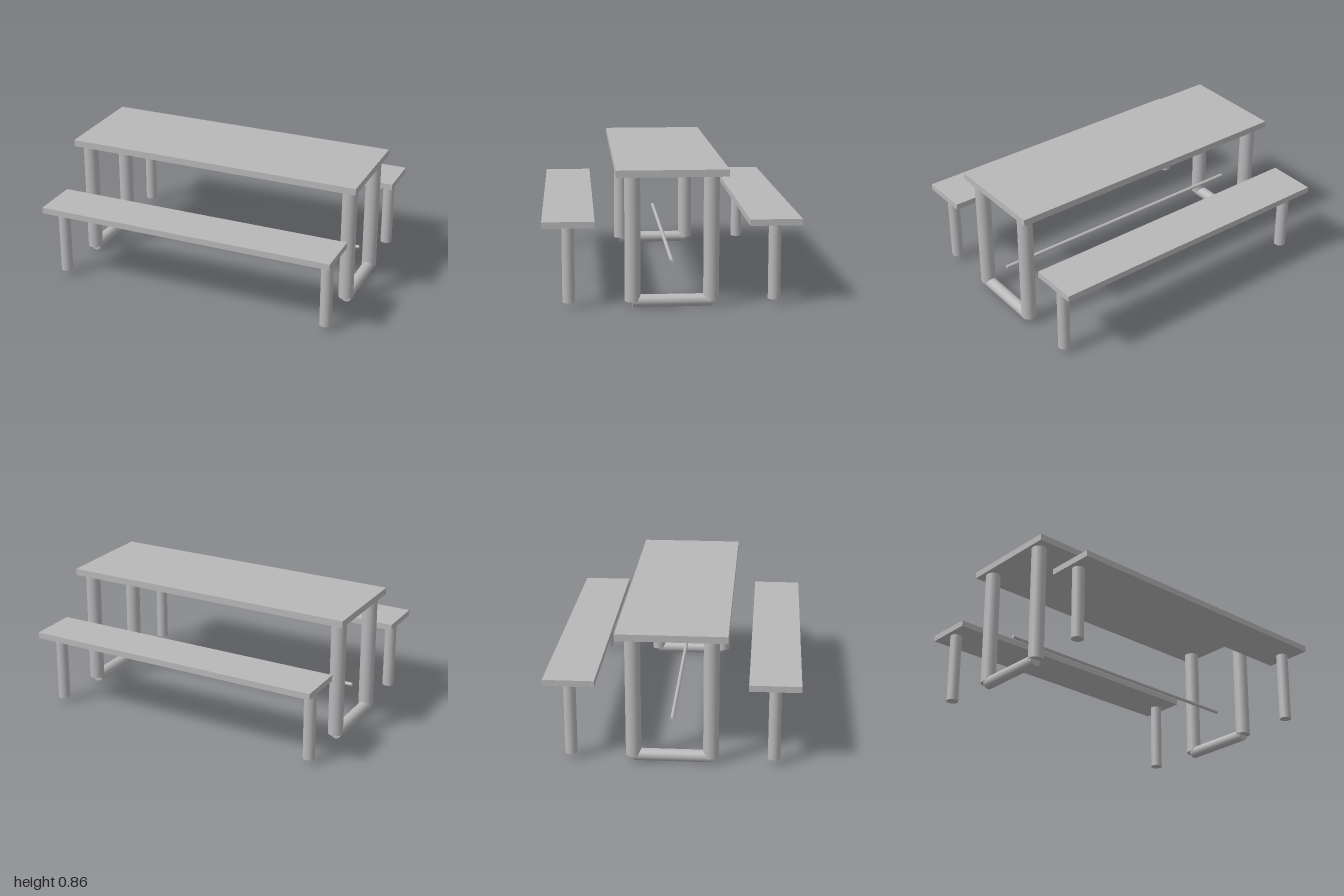
import * as THREE from 'three';

const metal = new THREE.MeshStandardMaterial({ color: 0xb8b8b8 });
metal.name = 'grey';

const LEG_X = 0.932;   // legs sit just inside both ends
const TABLE_Z = 0.243;
const BENCH_Z = 0.637;

export function createModel() {
  const group = new THREE.Group();
  group.name = 'picnicTable';

  const add = (name, geometry, x, y, z) => {
    const mesh = new THREE.Mesh(geometry, metal);
    mesh.name = name;
    mesh.position.set(x, y, z);
    group.add(mesh);
    return mesh;
  };
  // Flat board spanning the full length
  const slab = (name, y0, y1, z, depth) =>
    add(name, new THREE.BoxGeometry(2, y1 - y0, depth), 0, (y0 + y1) / 2, z);
  // Upright round post
  const post = (name, radius, y0, y1, x, z) =>
    add(name, new THREE.CylinderGeometry(radius, radius, y1 - y0, 32), x, (y0 + y1) / 2, z);

  slab('tableTop', 0.82, 0.864, 0, 0.69);

  for (const side of [-1, 1]) {
    slab(side > 0 ? 'frontBenchSeat' : 'backBenchSeat', 0.514, 0.554, side * 0.635, 0.322);
    for (const end of [-1, 1]) {
      post('tableLeg', 0.049, 0.04, 0.82, end * LEG_X, side * TABLE_Z);
      post('benchLeg', 0.039, 0.04, 0.514, end * LEG_X, side * BENCH_Z);
    }
  }

  // Floor bars joining the table legs at each end
  for (const end of [-1, 1]) {
    const bar = add('floorBar', new THREE.CylinderGeometry(0.039, 0.039, TABLE_Z * 2, 32), end * LEG_X, 0.039, 0);
    bar.rotation.x = Math.PI / 2;
  }

  // Thin rod running lengthwise under the table
  const rod = add('footRod', new THREE.CylinderGeometry(0.012, 0.012, LEG_X * 2, 24), 0, 0.286, 0);
  rod.rotation.z = Math.PI / 2;

  return group;
}
